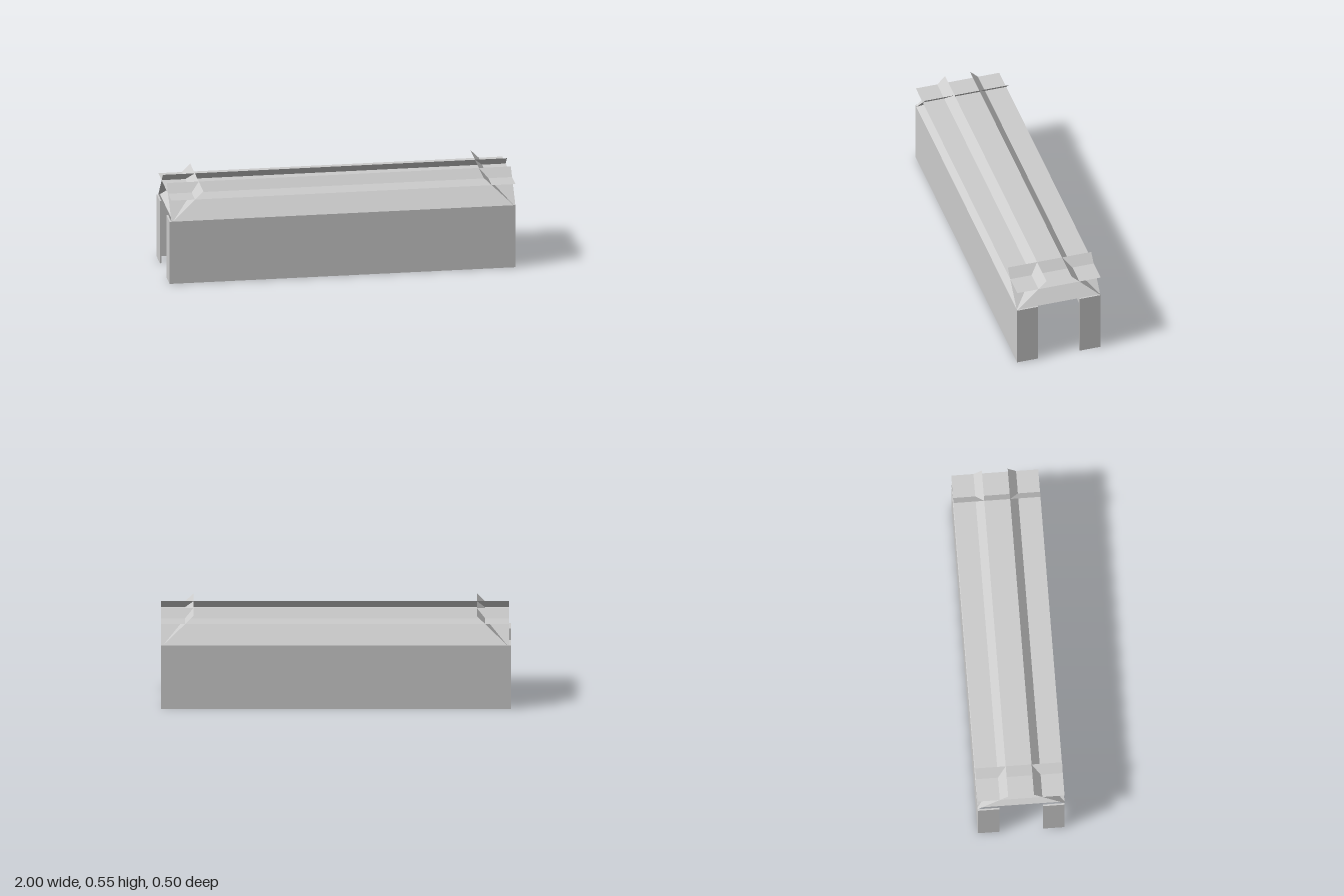
import * as THREE from 'three';

export function createModel() {
  const group = new THREE.Group();
  const grey = new THREE.MeshStandardMaterial({ color: 0xcccccc, side: THREE.DoubleSide });
  grey.name = 'light grey';

  const wallH = 0.374, halfZ = 0.249, minX = -0.99, maxX = 0.997;
  const length = maxX - minX, midX = (minX + maxX) / 2;
  const roofRise = 0.175, slopeLength = roofRise * Math.SQRT2;

  function add(name, geometry, x, y, z) {
    const mesh = new THREE.Mesh(geometry, grey);
    mesh.name = name;
    mesh.position.set(x, y, z);
    group.add(mesh);
    return mesh;
  }

  for (const s of [1, -1]) {
    const side = s > 0 ? 'front' : 'back';

    // long walls
    const wall = add(side + 'Wall', new THREE.PlaneGeometry(length, wallH), midX, wallH / 2, s * halfZ);
    if (s < 0) wall.rotation.y = Math.PI;

    // narrow end panels either side of each doorway
    for (const x of [minX - 0.005, maxX - 0.005]) {
      add(side + 'EndPanel', new THREE.BoxGeometry(0.01, wallH, 0.125), x, wallH / 2, s * (halfZ - 0.0625));
    }

    // long roof slopes, leaning inwards at 45 degrees and rising through the roof deck
    const slope = new THREE.PlaneGeometry(length, slopeLength);
    slope.rotateX(-Math.PI / 4);
    if (s < 0) slope.rotateY(Math.PI);
    add(side + 'RoofSlope', slope, midX, wallH + roofRise / 2, s * (halfZ - roofRise / 2));

    // end roof slopes crossing the long ones
    const endSlope = new THREE.PlaneGeometry(halfZ * 2, slopeLength);
    endSlope.rotateX(-Math.PI / 4);
    endSlope.rotateY(s * Math.PI / 2);
    add(s > 0 ? 'leftRoofSlope' : 'rightRoofSlope', endSlope,
      midX + s * (0.984 - roofRise / 2), wallH + roofRise / 2, 0);
  }

  // flat roof deck
  const deck = new THREE.PlaneGeometry(length, halfZ * 2);
  deck.rotateX(-Math.PI / 2);
  add('roofDeck', deck, midX, 0.501, 0);

  return group;
}
